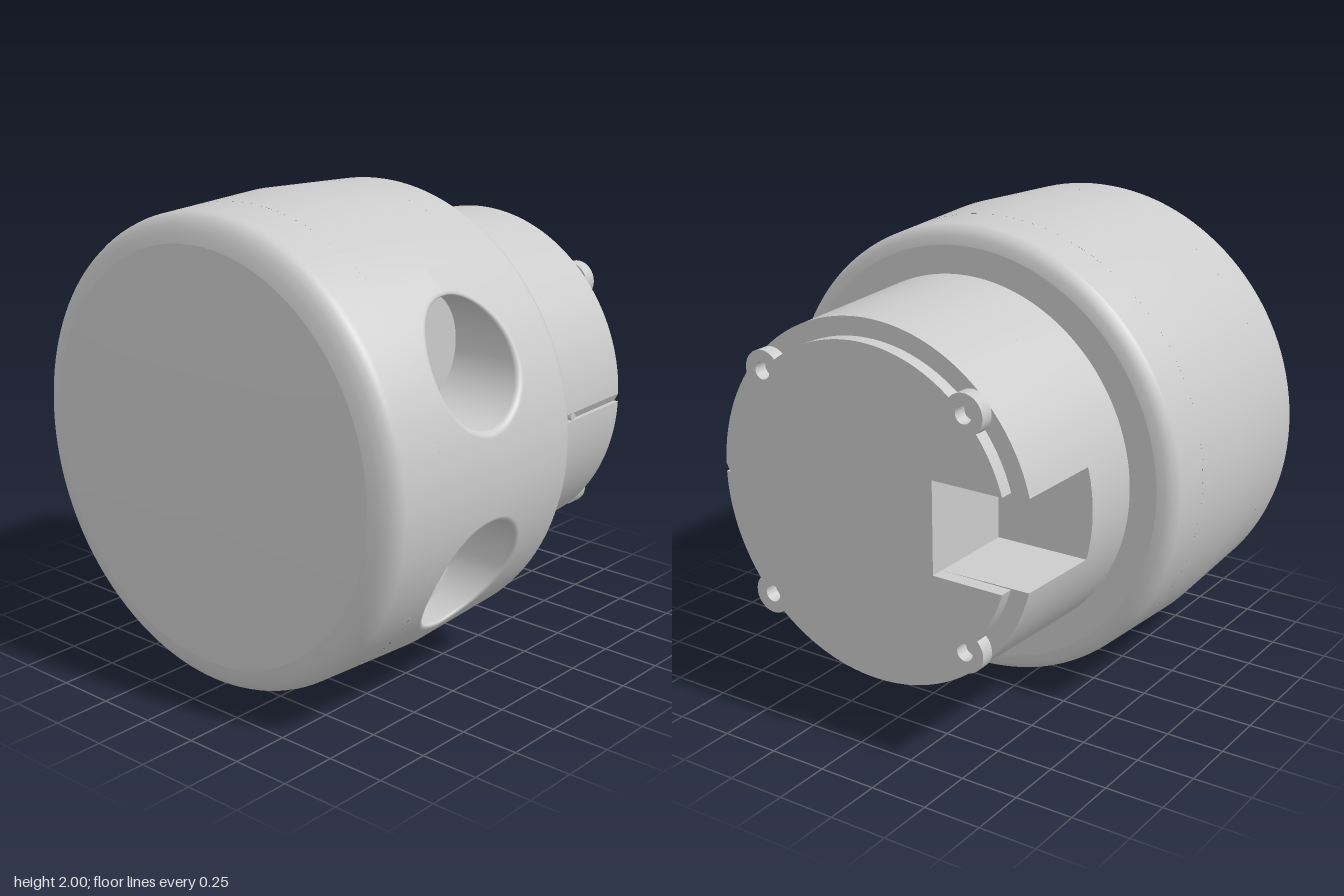
import * as THREE from 'three';
import { ParametricGeometry } from 'three/addons/geometries/ParametricGeometry.js';
import { toCreasedNormals } from 'three/addons/utils/BufferGeometryUtils.js';

const material = new THREE.MeshStandardMaterial({ color: 0xcccccc });
const { sin, cos, asin, abs, max, PI, sqrt } = Math;

// Barrel radius along z: two shallow cones meeting at the widest ring
const MID = 0.32;
const barrelRadius = z => 1 - 0.047 * abs(z - MID);

// Socket sizes (bores run along x into the +x side)
const BORE = 0.24, FILLET = 0.025, SOCKET_Y = 0.43, FLOOR_X = 0.6;
const PATCH = 0.435; // half of the angle each socket patch covers

export function createModel() {
  const model = new THREE.Group();
  const hub = new THREE.Group(); // everything is built around the z axis
  hub.name = 'hub';
  hub.position.y = 1;
  model.add(hub);

  const add = (name, geometry) => {
    const mesh = new THREE.Mesh(geometry, material);
    mesh.name = name;
    hub.add(mesh);
    return mesh;
  };

  // Turned part about z, profile as [radius, z] running towards +z
  const turned = (name, profile, start = 0, length = 2 * PI, segments = 128) => {
    const points = profile.map(([r, z]) => new THREE.Vector2(r, z));
    add(name, new THREE.LatheGeometry(points, segments, start, length).rotateX(PI / 2));
  };
  const barrel = zs => zs.map(z => [barrelRadius(z), z]);

  // Main drum
  turned('drumBackFace', [[0, -0.23], [0.9, -0.23]]);
  turned('drumBack', [[0.9, -0.23], [0.935, -0.222], [0.962, -0.205], [0.975, -0.18],
    ...barrel([-0.17, 0])]);
  turned('drumMiddle', barrel([0, MID, 2 * MID]), PI / 2 + 2 * PATCH, 2 * PI - 4 * PATCH);
  turned('drumFront', [...barrel([2 * MID, 0.83]), [0.971, 0.85], [0.96, 0.872], [0.935, 0.892],
    [0.9, 0.908], [0.86, 0.919]]);
  turned('frontDome', [[0.86, 0.919], [0.6, 0.935], [0.3, 0.946], [0, 0.95]]);

  // Socket: drum patch around the opening, rounded rim, bore and flat floor
  for (const side of [1, -1]) {
    const socket = (u, v, target) => {
      const t = -side * u * 2 * PI, c = cos(t), s = sin(t), k = v * 16;
      const blend = Math.min(k / 8, 1);
      const a = Math.min(max((k - 8) / 6, 0), 1) * PI / 2;
      const r = BORE + FILLET * (1 - sin(a));
      const cy = SOCKET_Y + r * s * side * side, cz = MID + r * c;
      const m = max(abs(c), abs(s));
      const z = THREE.MathUtils.lerp(MID + MID * c / m, cz, blend);
      const angle = THREE.MathUtils.lerp(PATCH + PATCH * s / m, asin(cy / barrelRadius(cz)), blend);
      let x = barrelRadius(z) * cos(angle) - FILLET * (1 - cos(a));
      const y = barrelRadius(z) * sin(angle);
      if (k > 14) x = THREE.MathUtils.lerp(x, FLOOR_X, (k - 14) / 2);
      target.set(x, side * y, z);
    };
    const name = side > 0 ? 'upperSocket' : 'lowerSocket';
    add(name, new ParametricGeometry(socket, 96, 16));
    add(name + 'Floor', new THREE.CircleGeometry(BORE, 96).rotateY(PI / 2))
      .position.set(FLOOR_X, side * SOCKET_Y, MID);
  }

  // Neck: tapered, grooved on +x, with a square pocket on -x at the rear
  const NECK = 0.78, POCKET_X = -0.335, POCKET_H = 0.195;
  const neckShape = pocket => {
    const shape = new THREE.Shape();
    const g = asin(0.018 / NECK), n = asin(POCKET_H / NECK);
    shape.moveTo(NECK - 0.02, 0.018);
    if (pocket) {
      shape.absarc(0, 0, NECK, g, PI - n);
      shape.lineTo(POCKET_X, POCKET_H);
      shape.lineTo(POCKET_X, -POCKET_H);
      shape.absarc(0, 0, NECK, PI + n, 2 * PI - g);
    } else shape.absarc(0, 0, NECK, g, 2 * PI - g);
    shape.lineTo(NECK - 0.02, -0.018);
    return shape;
  };
  const extruded = (shape, z0, z1, curveSegments) =>
    new THREE.ExtrudeGeometry(shape, { depth: z1 - z0, bevelEnabled: false, curveSegments })
      .translate(0, 0, z0);
  const tapered = geometry => {
    const p = geometry.attributes.position;
    for (let i = 0; i < p.count; i++) {
      const x = p.getX(i), y = p.getY(i);
      if (sqrt(x * x + y * y) < 0.7) continue;
      const f = 1 + (p.getZ(i) + 0.23) * 0.045;
      p.setXY(i, x * f, y * f);
    }
    return toCreasedNormals(geometry, 0.4);
  };
  add('neckFront', tapered(extruded(neckShape(false), -0.5, -0.23, 128)));
  add('neckRear', tapered(extruded(neckShape(true), -0.89, -0.5, 64)));

  // Small pin in the groove
  add('groovePin', new THREE.CylinderGeometry(0.016, 0.016, 0.04, 20).rotateZ(PI / 2))
    .position.set(0.752, 0, -0.52);

  // Rear plate: disc with four drilled lugs and the same pocket cut
  const PLATE = 0.68, LUG = 0.085;
  const plate = new THREE.Shape();
  const half = 2 * asin(LUG / (2 * PLATE)), cut = asin(POCKET_H / PLATE);
  let from = 0;
  for (let k = 0; k < 4; k++) {
    const a = PI / 4 + k * PI / 2, x = PLATE * cos(a), y = PLATE * sin(a);
    const sweep = PI / 2 + half / 2;
    plate.absarc(0, 0, PLATE, from, a - half);
    plate.absarc(x, y, LUG, a - sweep, a + sweep);
    from = a + half;
    if (k === 1) {
      plate.absarc(0, 0, PLATE, from, PI - cut);
      plate.lineTo(POCKET_X, POCKET_H);
      plate.lineTo(POCKET_X, -POCKET_H);
      from = PI + cut;
    }
    plate.holes.push(new THREE.Path().absarc(x, y, 0.036, 0, 2 * PI, true));
  }
  plate.absarc(0, 0, PLATE, from, 2 * PI);
  add('rearPlate', toCreasedNormals(extruded(plate, -0.95, -0.89, 24), 0.4));

  return model;
}
